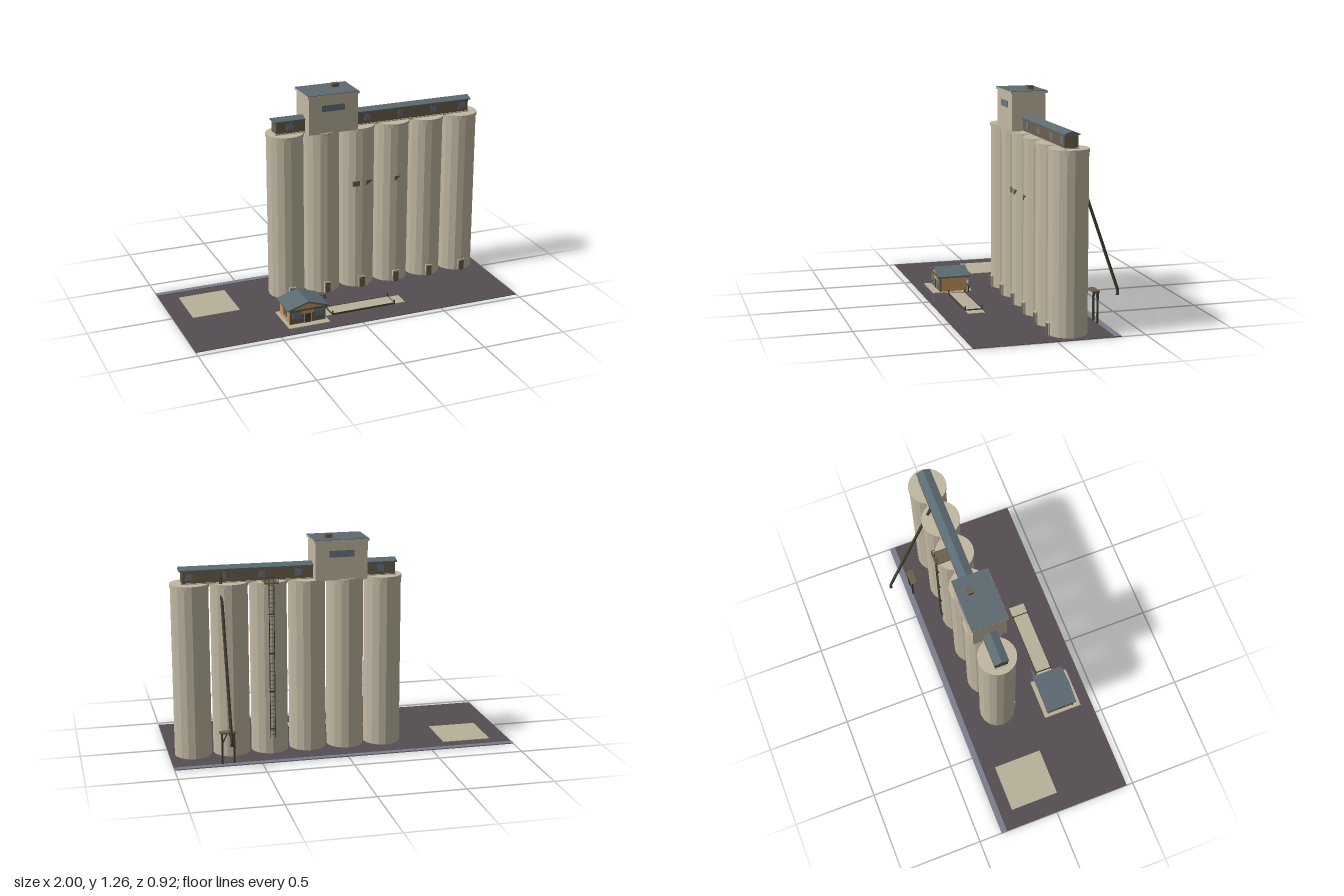
import * as THREE from 'three';

const mat = (name, color) => {
  const m = new THREE.MeshStandardMaterial({ color });
  m.name = name;
  return m;
};

export function createModel() {
  const concrete = mat('concrete', 0xc2b8a2);
  const slab = mat('pale slab', 0xb8b099);
  const asphalt = mat('asphalt', 0x544d51);
  const curb = mat('grey curb', 0x7c7d8b);
  const slate = mat('slate roof', 0x5c6b72);
  const glass = mat('window glass', 0x6b7681);
  const brown = mat('brown siding', 0x6b604c);
  const steel = mat('dark steel', 0x454033);
  const timber = mat('orange timber', 0xc8965a);
  for (const m of [concrete, slab, steel]) m.flatShading = true;

  const model = new THREE.Group();
  const group = (name) => {
    const g = new THREE.Group();
    g.name = name;
    model.add(g);
    return g;
  };
  const add = (parent, name, geometry, material) => {
    const mesh = new THREE.Mesh(geometry, material);
    mesh.name = name;
    parent.add(mesh);
    return mesh;
  };
  // Box given by its extents on each axis
  const box = (parent, name, m, x0, x1, y0, y1, z0, z1) => {
    const b = add(parent, name, new THREE.BoxGeometry(x1 - x0, y1 - y0, z1 - z0), m);
    b.position.set((x0 + x1) / 2, (y0 + y1) / 2, (z0 + z1) / 2);
    return b;
  };
  // Round bar between two points
  const bar = (parent, name, m, a, b, r, sides = 8) => {
    const p = new THREE.Vector3(...a), q = new THREE.Vector3(...b);
    const mesh = add(parent, name, new THREE.CylinderGeometry(r, r, p.distanceTo(q), sides), m);
    mesh.position.copy(p).add(q).multiplyScalar(0.5);
    mesh.quaternion.setFromUnitVectors(new THREE.Vector3(0, 1, 0), q.sub(p).normalize());
    return mesh;
  };
  // Flat outline extruded towards +z
  const prism = (parent, name, m, points, depth) => {
    const shape = new THREE.Shape(points.map(([x, y]) => new THREE.Vector2(x, y)));
    return add(parent, name, new THREE.ExtrudeGeometry(shape, { depth, bevelEnabled: false }), m);
  };

  // Site
  const site = group('site');
  box(site, 'ground', asphalt, -1, 1, 0, 0.003, -0.36, 0.46);
  box(site, 'curb', curb, -1, 1, 0, 0.006, -0.36, -0.325);
  box(site, 'emptyPad', slab, -0.89, -0.605, 0.001, 0.006, -0.25, 0.045);

  // Row of six silos with caps and doors
  const silos = group('silos');
  const siloZ = -0.102;
  for (let i = 0; i < 6; i++) {
    const x = -0.26 + i * 0.224;
    const body = add(silos, 'silo', new THREE.CylinderGeometry(0.108, 0.108, 1, 16), concrete);
    body.position.set(x, 0.5, siloZ);
    const cap = add(silos, 'siloCap', new THREE.CylinderGeometry(0.112, 0.112, 0.02, 24), concrete);
    cap.position.set(x, 1, siloZ);
    box(silos, 'doorFrame', concrete, x - 0.021, x + 0.021, 0, 0.072, -0.01, 0.012);
    box(silos, 'siloDoor', brown, x - 0.016, x + 0.016, 0.002, 0.066, 0.008, 0.015);
  }
  // Painted patches on the silo fronts
  box(silos, 'wallPatch', brown, 0.128, 0.17, 0.655, 0.685, -0.004, 0.005);
  for (const x of [0.212, 0.396])
    prism(silos, 'wallPatch', brown, [[x, 0.655], [x + 0.042, 0.685], [x, 0.685]], 0.008).position.z = 0;

  // Gallery along the silo tops
  const gallery = group('gallery');
  box(gallery, 'galleryBase', concrete, -0.33, 0.91, 1.005, 1.015, siloZ - 0.044, siloZ + 0.044);
  box(gallery, 'galleryWalls', brown, -0.325, 0.905, 1.01, 1.088, siloZ - 0.038, siloZ + 0.038);
  const galleryRoof = prism(gallery, 'galleryRoof', slate,
    [[-0.043, 1.083], [0.043, 1.083], [0.043, 1.09], [0, 1.106], [-0.043, 1.09]], 1.255);
  galleryRoof.rotation.y = Math.PI / 2;
  galleryRoof.position.set(-0.335, 0, siloZ);
  for (const x of [-0.24, 0.245, 0.455, 0.675, 0.865])
    box(gallery, 'galleryWindows', glass, x - 0.02, x + 0.02, 1.032, 1.07, siloZ - 0.04, siloZ + 0.04);

  // Headhouse tower
  const head = group('headhouse');
  box(head, 'towerWalls', concrete, -0.147, 0.157, 1.005, 1.226, -0.2, 0);
  box(head, 'roofEdge', concrete, -0.154, 0.164, 1.225, 1.238, -0.21, 0.008);
  box(head, 'roofTop', slate, -0.153, 0.163, 1.237, 1.241, -0.209, 0.007);
  box(head, 'roofVent', brown, 0.047, 0.088, 1.24, 1.262, -0.15, -0.118);
  for (const z of [0, -0.2])
    box(head, 'towerWindow', glass, -0.069, 0.075, 1.138, 1.176, z - 0.003, z + 0.003);

  // Ladder and railed platform on the back
  const ladder = group('ladder');
  const lx = 0.413;
  for (const s of [-1, 1])
    box(ladder, 'ladderRail', steel, lx + s * 0.014 - 0.002, lx + s * 0.014 + 0.002, 0.1, 1.04, -0.219, -0.215);
  for (let y = 0.12; y < 1.02; y += 0.025)
    box(ladder, 'rung', steel, lx - 0.014, lx + 0.014, y, y + 0.002, -0.218, -0.216);
  for (const y of [0.15, 0.375, 0.6, 0.83])
    box(ladder, 'ladderBracket', steel, lx - 0.017, lx + 0.017, y, y + 0.006, -0.219, -0.203);
  box(ladder, 'platform', brown, lx - 0.04, lx + 0.04, 1.008, 1.016, -0.23, -0.14);
  for (const s of [-1, 1]) {
    bar(ladder, 'railPost', steel, [lx + s * 0.037, 1.01, -0.226], [lx + s * 0.037, 1.046, -0.226], 0.0018);
    bar(ladder, 'sideRail', steel, [lx + s * 0.037, 1.045, -0.226], [lx + s * 0.037, 1.045, -0.205], 0.0018);
  }
  bar(ladder, 'backRail', steel, [lx - 0.037, 1.045, -0.226], [lx + 0.037, 1.045, -0.226], 0.0018);

  // Loading spout and its support frame
  const spout = group('spout');
  const sx = 0.69;
  bar(spout, 'spoutPipe', steel, [sx, 1.065, -0.142], [sx, 0.18, -0.452], 0.009, 10);
  const tip = add(spout, 'spoutTip', new THREE.CylinderGeometry(0.007, 0.01, 0.035, 10), steel);
  tip.position.set(sx, 0.166, -0.452);
  box(spout, 'supportTop', brown, sx - 0.047, sx + 0.047, 0.182, 0.19, -0.332, -0.29);
  for (const s of [-1, 1]) {
    const x = sx + s * 0.034;
    box(spout, 'supportLeg', steel, x - 0.005, x + 0.005, 0, 0.183, -0.328, -0.318);
    bar(spout, 'supportBrace', steel, [x, 0.125, -0.323], [sx + s * 0.006, 0.18, -0.323], 0.004);
  }

  // Scale house
  const house = group('scaleHouse');
  const hx = -0.297;
  box(house, 'housePad', slab, -0.425, -0.175, 0.001, 0.008, 0.155, 0.393);
  box(house, 'houseWalls', timber, hx - 0.108, hx + 0.108, 0.005, 0.096, 0.18, 0.345);
  prism(house, 'gables', timber, [[hx - 0.108, 0.095], [hx + 0.108, 0.095], [hx, 0.13]], 0.165).position.z = 0.18;
  prism(house, 'houseRoof', slate, [[hx - 0.123, 0.092], [hx, 0.131], [hx + 0.123, 0.092],
    [hx + 0.123, 0.102], [hx, 0.141], [hx - 0.123, 0.102]], 0.194).position.z = 0.166;
  box(house, 'frontSiding', brown, hx - 0.11, hx + 0.11, 0.005, 0.095, 0.342, 0.349);
  box(house, 'transom', timber, hx - 0.04, hx + 0.04, 0.064, 0.08, 0.345, 0.351);
  box(house, 'frontDoor', steel, hx - 0.016, hx + 0.016, 0.008, 0.064, 0.345, 0.352);
  for (const s of [-1, 1]) {
    const wx = hx + s * 0.07;
    box(house, 'frontWindow', glass, wx - 0.026, wx + 0.026, 0.04, 0.075, 0.345, 0.352);
    box(house, 'doorPost', slab, hx + s * 0.022 - 0.003, hx + s * 0.022 + 0.003, 0.008, 0.064, 0.345, 0.353);
    box(house, 'cornerTrim', brown, hx + s * 0.108 - 0.002, hx + s * 0.108 + 0.002, 0.008, 0.09, 0.34, 0.347);
  }
  box(house, 'backWindow', glass, hx - 0.03, hx + 0.03, 0.04, 0.075, 0.176, 0.182);
  box(house, 'sideWindow', brown, hx - 0.111, hx - 0.106, 0.035, 0.075, 0.235, 0.295);

  // Sign beside the house
  const sign = group('scaleSign');
  box(sign, 'signPost', steel, -0.168, -0.16, 0, 0.055, 0.178, 0.184);
  box(sign, 'signBoard', slate, -0.19, -0.115, 0.052, 0.08, 0.178, 0.184);
  box(sign, 'signPanel', slab, -0.184, -0.142, 0.058, 0.074, 0.183, 0.186);

  // Truck scale
  const scale = group('truckScale');
  box(scale, 'approach', slab, -0.175, 0.335, 0.001, 0.006, 0.212, 0.31);
  box(scale, 'deck', slab, -0.13, 0.267, 0.003, 0.011, 0.214, 0.308);
  for (const x of [-0.13, 0.267])
    box(scale, 'deckJoint', steel, x - 0.003, x + 0.003, 0.003, 0.012, 0.212, 0.31);
  for (const z of [0.212, 0.31]) {
    box(scale, 'edgeBeam', steel, -0.13, 0.267, 0.002, 0.013, z - 0.002, z + 0.002);
    for (const x of [-0.127, 0.264])
      box(scale, 'cornerPost', steel, x - 0.003, x + 0.003, 0, 0.03, z - 0.003, z + 0.003);
  }

  return model;
}
